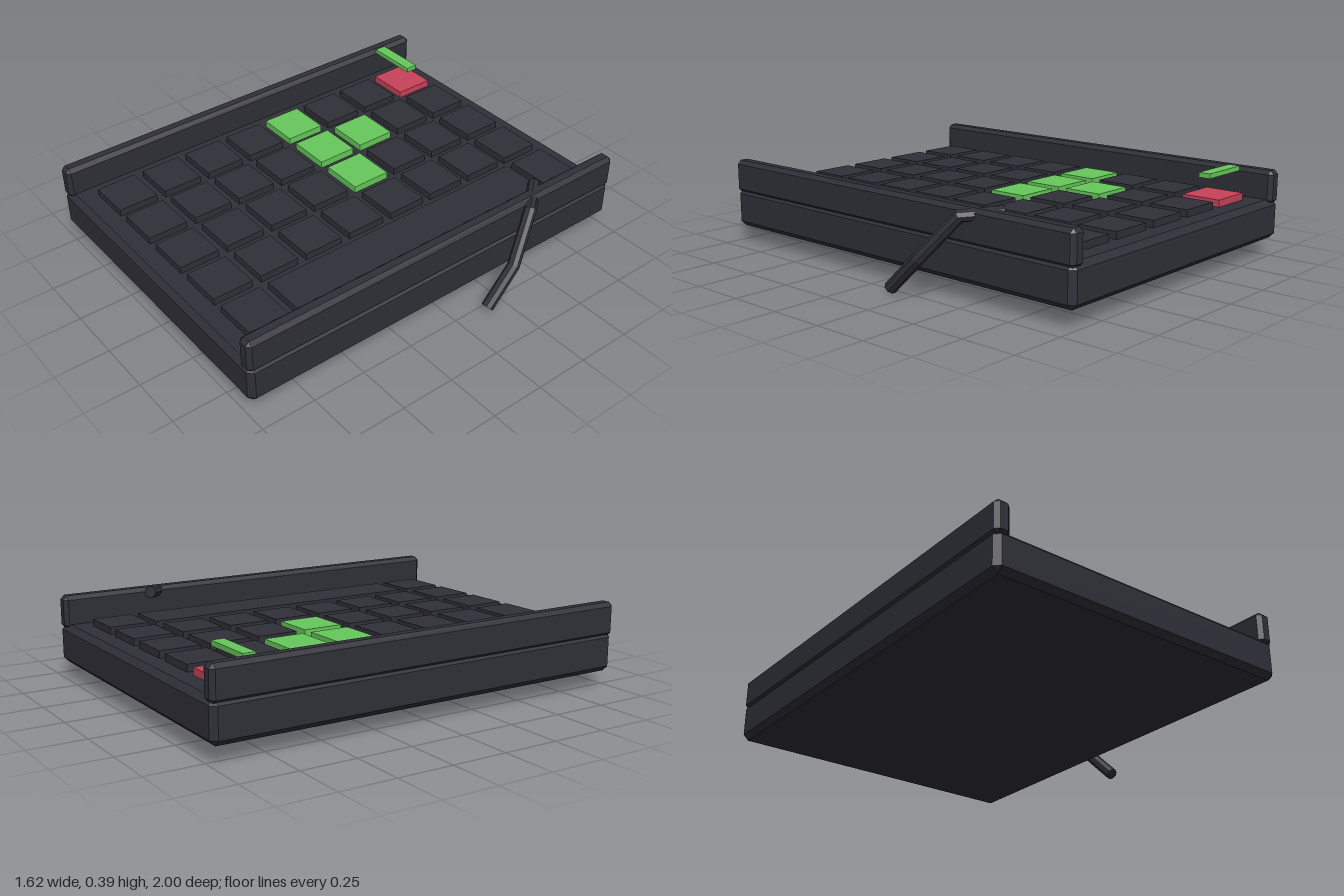
import * as THREE from 'three';
import { ConvexGeometry } from 'three/addons/geometries/ConvexGeometry.js';

function material(name, color) {
  const m = new THREE.MeshStandardMaterial({ color });
  m.name = name;
  return m;
}

// Box between two corners with every edge cut at 45 degrees
function chamferedBox([x0, y0, z0], [x1, y1, z1], c) {
  const points = [];
  for (const [x, i] of [[x0, 1], [x1, -1]])
    for (const [y, j] of [[y0, 1], [y1, -1]])
      for (const [z, k] of [[z0, 1], [z1, -1]])
        points.push(
          new THREE.Vector3(x, y + j * c, z + k * c),
          new THREE.Vector3(x + i * c, y, z + k * c),
          new THREE.Vector3(x + i * c, y + j * c, z));
  return new ConvexGeometry(points);
}

export function createModel() {
  const charcoal = material('charcoal', 0x2f2f38);
  const green = material('green', 0x66c85b);
  const red = material('red', 0xc84359);
  const model = new THREE.Group();
  model.name = 'keypad';

  const add = (name, geometry, mat, parent = model) => {
    const mesh = new THREE.Mesh(geometry, mat);
    mesh.name = name;
    parent.add(mesh);
    return mesh;
  };

  // Tray and its two side rails
  add('tray', chamferedBox([-0.81, 0.075, -1], [0.68, 0.257, 1], 0.025), charcoal);
  add('rightRail', chamferedBox([-0.81, 0.235, -1], [-0.738, 0.388, 1], 0.018), charcoal);
  add('leftRail', chamferedBox([0.608, 0.235, -1], [0.68, 0.388, 1], 0.018), charcoal);

  // Grid of keys; the last column has one long bar between two keys
  const keys = new THREE.Group();
  keys.name = 'keys';
  model.add(keys);
  const colX = (c) => -0.567 + 0.25 * c;
  const rowZ = (r) => -0.806 + 0.23 * r;
  const greenKeys = ['2,1', '3,0', '3,1', '3,2'];
  const keyShape = new THREE.BoxGeometry(0.2, 0.05, 0.187);
  for (let r = 0; r < 8; r++) {
    for (let c = 0; c < 5; c++) {
      if (c === 4 && r > 0 && r < 7) continue;
      const id = `${r},${c}`;
      const mat = id === '0,0' ? red : greenKeys.includes(id) ? green : charcoal;
      add('key', keyShape, mat, keys).position.set(colX(c), 0.264, rowZ(r));
    }
  }
  add('longKey', new THREE.BoxGeometry(0.2, 0.05, 1.347), charcoal, keys)
    .position.set(colX(4), 0.264, -0.006);

  // Indicator strip by the rail
  add('indicator', new THREE.BoxGeometry(0.25, 0.022, 0.056), green)
    .position.set(-0.617, 0.381, -0.805);

  // Cord passing through the rail, one straight segment per control point
  const path = new THREE.CatmullRomCurve3([
    new THREE.Vector3(0.585, 0.37, -0.59),
    new THREE.Vector3(0.7, 0.355, -0.455),
    new THREE.Vector3(0.775, 0.17, -0.3),
    new THREE.Vector3(0.785, 0.023, -0.15),
  ], false, 'catmullrom', 0.5);
  path.getPointAt = (t, v) => path.getPoint(t, v);
  path.getTangentAt = (t, v) => path.getTangent(t, v);
  const cord = new THREE.Group();
  cord.name = 'cord';
  model.add(cord);
  const sleeve = new THREE.TubeGeometry(path, 3, 0.028, 8, false).toNonIndexed();
  sleeve.computeVertexNormals();
  add('cordSleeve', sleeve, charcoal, cord);
  for (const t of [0, 1]) {
    const cap = add('cordEnd', new THREE.CircleGeometry(0.028, 8), charcoal, cord);
    const p = path.getPoint(t);
    cap.position.copy(p);
    cap.lookAt(p.clone().addScaledVector(path.getTangent(t), t ? 1 : -1));
  }

  return model;
}
